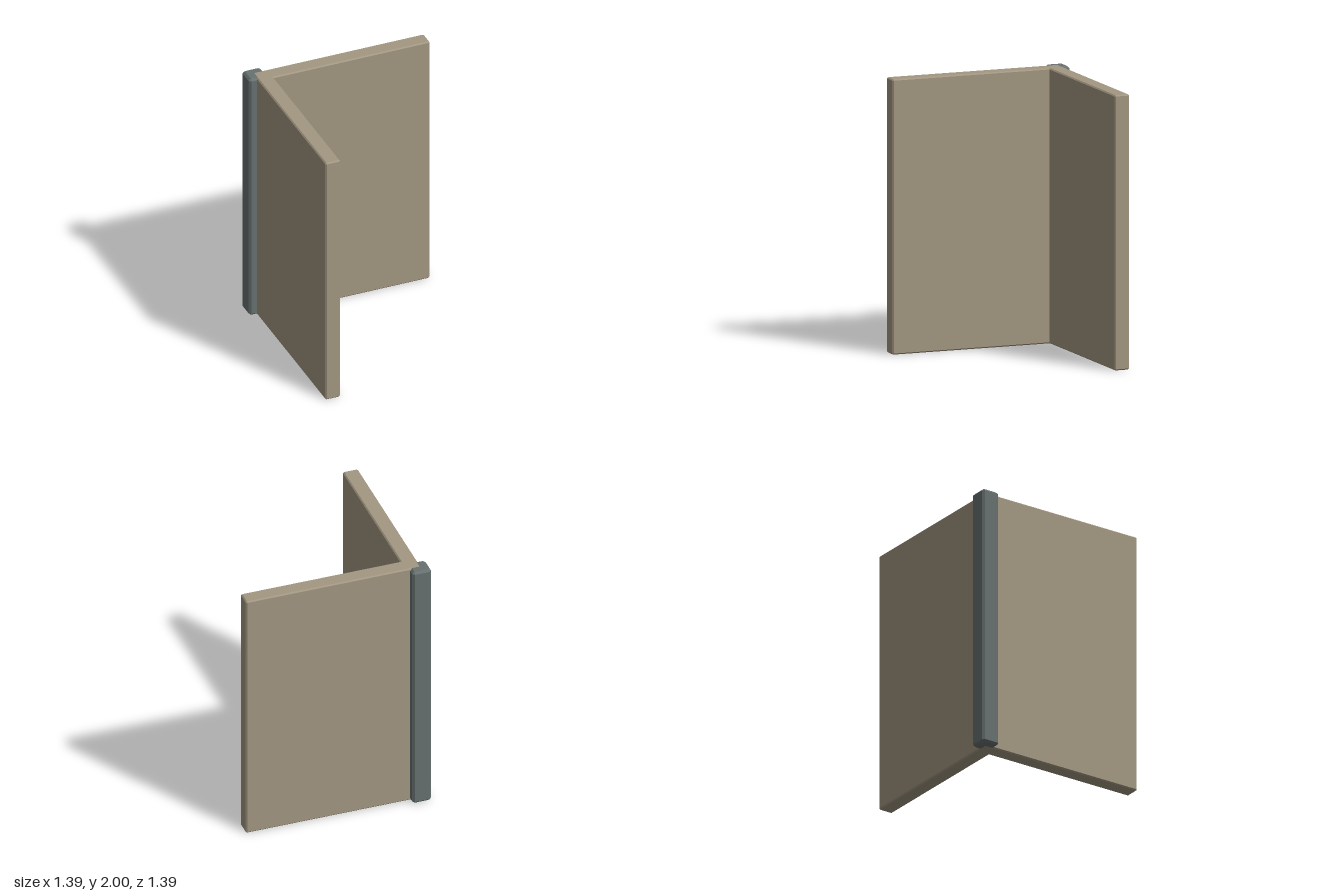
import * as THREE from 'three';

const HEIGHT = 2;

// Vertical prism from an [x, z] plan, with every convex corner and both ends chamfered.
function chamferedPrism(plan, bevel, height) {
  const pts = plan.map(([x, z]) => new THREE.Vector2(x, -z));
  const outline = [];
  pts.forEach((p, i) => {
    const prev = pts[(i + pts.length - 1) % pts.length];
    const next = pts[(i + 1) % pts.length];
    const toPrev = prev.clone().sub(p).normalize();
    const toNext = next.clone().sub(p).normalize();
    if (toNext.cross(toPrev) > 0) {
      outline.push(p.clone().addScaledVector(toPrev, bevel), p.clone().addScaledVector(toNext, bevel));
    } else {
      outline.push(p);
    }
  });
  const geometry = new THREE.ExtrudeGeometry(new THREE.Shape(outline), {
    depth: height - 2 * bevel,
    bevelEnabled: true,
    bevelSegments: 1,
    bevelSize: bevel,
    bevelThickness: bevel,
    bevelOffset: -bevel,
  });
  geometry.rotateX(-Math.PI / 2);
  geometry.translate(0, bevel, 0);
  return geometry;
}

function addPart(group, name, geometry, color) {
  const material = new THREE.MeshStandardMaterial({ color, flatShading: true });
  const mesh = new THREE.Mesh(geometry, material);
  mesh.name = name;
  group.add(mesh);
  return mesh;
}

export function createModel() {
  const group = new THREE.Group();
  group.name = 'cornerWall';

  // Two wall panels meeting in an L, counter-clockwise seen from above
  const out = -0.635, inn = -0.52, end = 0.695;
  const wallPlan = [[out, out], [out, end], [inn, end], [inn, inn], [end, inn], [end, out]];
  addPart(group, 'cornerWalls', chamferedPrism(wallPlan, 0.009, HEIGHT), 0xa39782);

  // Square post wrapping the outer corner, a hair lower than the wall top
  const a = -0.695, b = -0.553;
  const postPlan = [[a, a], [a, b], [b, b], [b, a]];
  const post = addPart(group, 'cornerPost', chamferedPrism(postPlan, 0.016, HEIGHT - 0.004), 0x687070);
  post.position.y = 0.002;

  return group;
}
